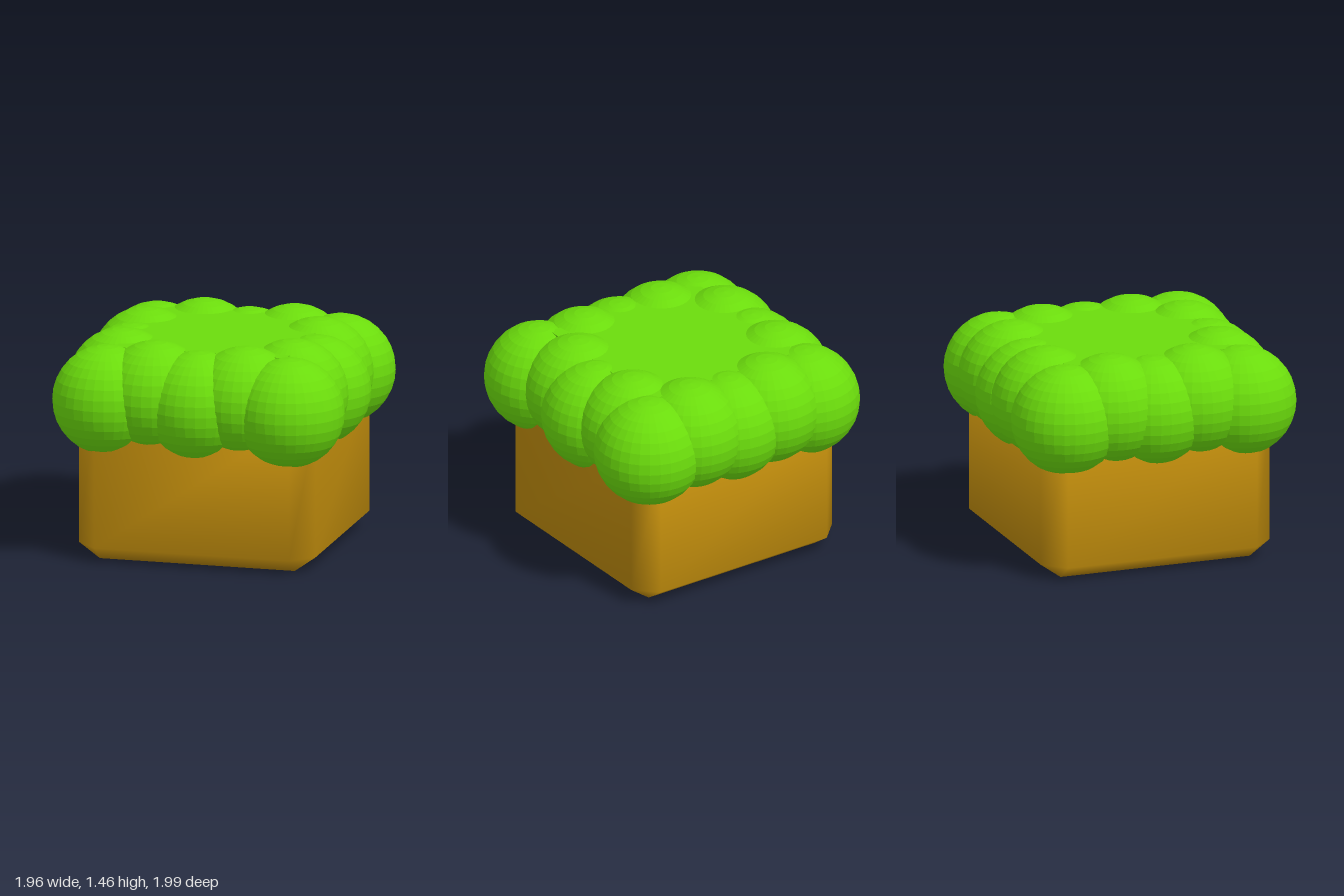
import * as THREE from 'three';
import { mergeVertices } from 'three/addons/utils/BufferGeometryUtils.js';

// Block with chamfered vertical corners and a chamfered foot, smooth shaded
function blockGeometry() {
  const ring = (outer, inner, y) => {
    const pts = [];
    let corner = [[inner, outer], [outer, inner]];
    for (let k = 0; k < 4; k++) {
      corner.forEach(([x, z]) => pts.push([x, y, z]));
      corner = corner.map(([x, z]) => [z, -x]);
    }
    return pts;
  };
  const rings = [ring(0.66, 0.66, 0), ring(0.8, 0.66, 0.1), ring(0.8, 0.66, 1.0)];
  const index = [];
  const same = (a, b) => a.every((v, i) => v === b[i]);
  const points = rings.flat();
  const tri = (a, b, c) => {
    const [p, q, r] = [points[a], points[b], points[c]];
    if (!same(p, q) && !same(q, r) && !same(p, r)) index.push(a, b, c);
  };
  for (let level = 0; level < 2; level++) {
    for (let i = 0; i < 8; i++) {
      const a = level * 8 + i, b = level * 8 + (i + 1) % 8;
      tri(a, b, b + 8);
      tri(a, b + 8, a + 8);
    }
  }
  for (let i = 1; i < 7; i++) {
    tri(0, i + 1, i);
    tri(16, 16 + i, 17 + i);
  }
  const geo = new THREE.BufferGeometry();
  geo.setAttribute('position', new THREE.Float32BufferAttribute(points.flat(), 3));
  geo.setIndex(index);
  const merged = mergeVertices(geo);
  merged.computeVertexNormals();
  return merged;
}

export function createModel() {
  const group = new THREE.Group();
  const earth = new THREE.MeshStandardMaterial({ color: 0xb8860b });
  const green = new THREE.MeshStandardMaterial({ color: 0x6bdc0c, flatShading: true });

  const add = (name, geometry, material, x, y, z) => {
    const mesh = new THREE.Mesh(geometry, material);
    mesh.name = name;
    mesh.position.set(x, y, z);
    group.add(mesh);
  };

  // Earth block and the flat green top
  add('earthBlock', blockGeometry(), earth, 0, 0, -0.015);
  add('flatTop', new THREE.BoxGeometry(1.16, 0.5, 1.16), green, 0, 1.155, -0.015);

  // Bushes around the rim: low ones at corners and mid-sides, raised ones between
  const bush = new THREE.SphereGeometry(0.362, 32, 16);
  const lowBushes = [
    [-0.62, -0.62], [0, -0.635], [0.62, -0.62],
    [-0.62, -0.02], [0.62, -0.02],
    [-0.62, 0.6], [0, 0.6], [0.62, 0.63],
  ];
  const raisedBushes = [
    [-0.305, -0.638], [0.305, -0.638],
    [-0.605, -0.31], [0.55, -0.34],
    [-0.605, 0.275], [0.55, 0.28],
    [-0.305, 0.56], [0.305, 0.56],
  ];
  lowBushes.forEach(([x, z], i) => add(`lowBush${i + 1}`, bush, green, x, 1.06, z));
  raisedBushes.forEach(([x, z], i) => add(`raisedBush${i + 1}`, bush, green, x, 1.1, z));

  return group;
}
